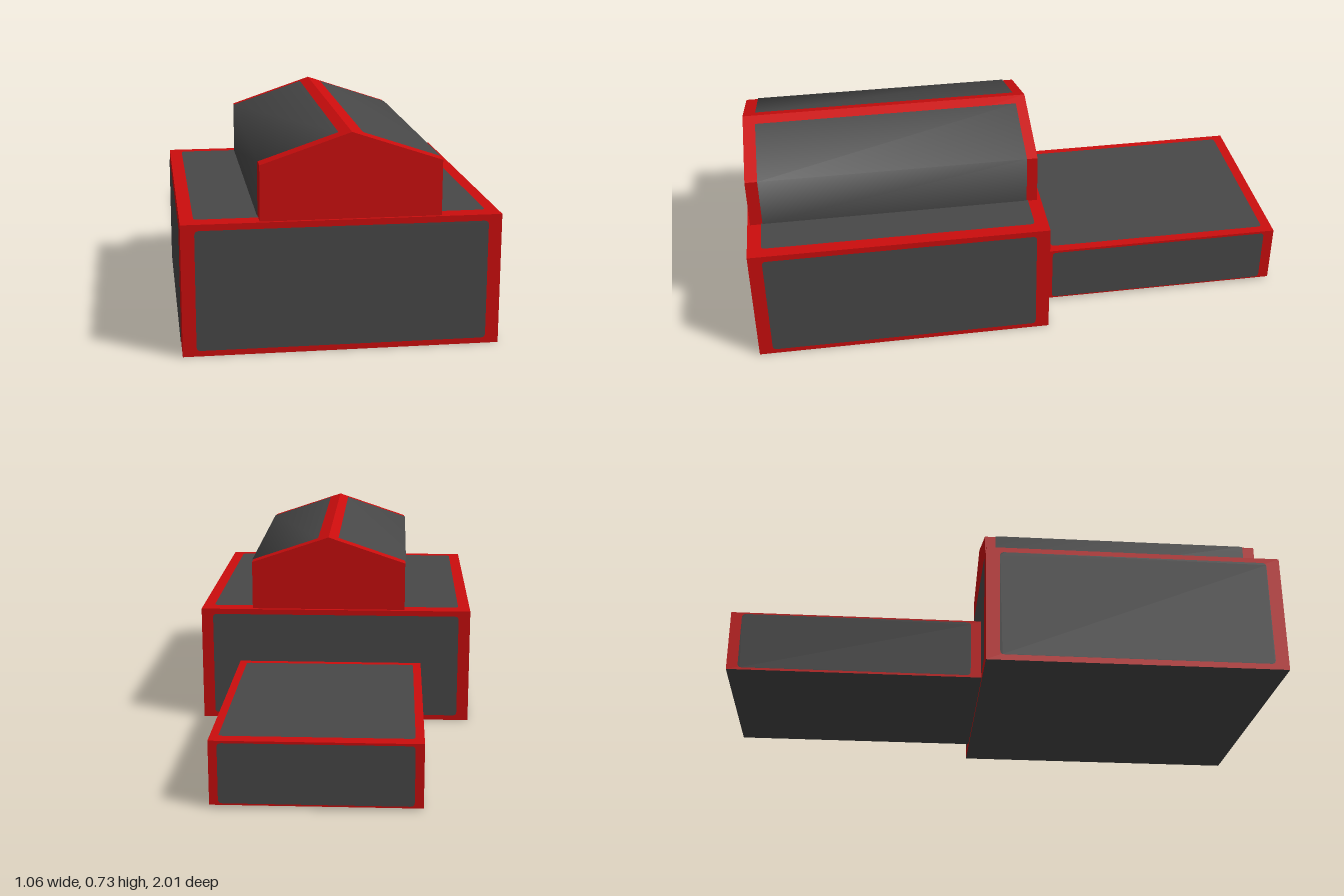
import * as THREE from 'three';

const GAP = 0.003; // how far the grey panels stand off the red body

export function createModel() {
  const red = new THREE.MeshStandardMaterial({ color: 0xcc0d0d });
  red.name = 'red trim';
  const grey = new THREE.MeshStandardMaterial({ color: 0x484848 });
  grey.name = 'dark grey panel';
  const model = new THREE.Group();
  model.name = 'building';

  const add = (parent, name, geometry, material) => {
    const mesh = new THREE.Mesh(geometry, material);
    mesh.name = name;
    parent.add(mesh);
    return mesh;
  };

  // Flat panel with rounded corners, facing +z, centred on the origin
  const panelGeometry = (w, h, r = 0.015) => {
    const x = w / 2, y = h / 2, s = new THREE.Shape();
    s.moveTo(-x + r, -y);
    s.lineTo(x - r, -y).quadraticCurveTo(x, -y, x, -y + r);
    s.lineTo(x, y - r).quadraticCurveTo(x, y, x - r, y);
    s.lineTo(-x + r, y).quadraticCurveTo(-x, y, -x, y - r);
    s.lineTo(-x, -y + r).quadraticCurveTo(-x, -y, -x + r, -y);
    return new THREE.ShapeGeometry(s, 4);
  };

  // Red box with a grey panel inset on every listed side and a fully grey underside
  const block = (name, [x0, x1], [y0, y1], [z0, z1], inset, sides) => {
    const group = new THREE.Group();
    group.name = name;
    const w = x1 - x0, h = y1 - y0, d = z1 - z0;
    group.position.set((x0 + x1) / 2, (y0 + y1) / 2, (z0 + z1) / 2);
    add(group, name + 'Body', new THREE.BoxGeometry(w, h, d), [red, red, red, grey, red, red]);
    const { x: ix, y: iy, z: iz } = inset;
    const panels = {
      front: [w - 2 * ix, h - 2 * iy, [0, 0, d / 2 + GAP], [0, 0, 0]],
      back: [w - 2 * ix, h - 2 * iy, [0, 0, -d / 2 - GAP], [0, Math.PI, 0]],
      left: [d - 2 * iz, h - 2 * iy, [w / 2 + GAP, 0, 0], [0, Math.PI / 2, 0]],
      right: [d - 2 * iz, h - 2 * iy, [-w / 2 - GAP, 0, 0], [0, -Math.PI / 2, 0]],
      top: [w - 2 * ix, d - 2 * iz, [0, h / 2 + GAP, 0], [-Math.PI / 2, 0, 0]],
    };
    for (const side of sides) {
      const [pw, ph, position, rotation] = panels[side];
      const panel = add(group, side + 'Panel', panelGeometry(pw, ph), grey);
      panel.position.set(...position);
      panel.rotation.set(...rotation);
    }
    model.add(group);
  };

  block('mainHall', [-0.525, 0.525], [0, 0.445], [-0.085, 1],
    { x: 0.045, y: 0.02, z: 0.05 }, ['front', 'back', 'left', 'right', 'top']);
  block('rearAnnex', [-0.335, 0.375], [0.01, 0.235], [-1, -0.085],
    { x: 0.03, y: 0.007, z: 0.04 }, ['back', 'left', 'right', 'top']);

  // Gabled upper storey
  const gable = new THREE.Shape([[-0.27, 0.44], [0.325, 0.44], [0.325, 0.63], [0.027, 0.73], [-0.27, 0.63]]
    .map(([x, y]) => new THREE.Vector2(x, y)));
  const upper = new THREE.ExtrudeGeometry(gable, { depth: 1.06, bevelEnabled: false });
  upper.translate(0, 0, -0.07);
  add(model, 'upperStorey', upper, red);

  // Grey covering running up the wall and over the eave, shaded smoothly across the bend
  const covering = (name, profile) => {
    const positions = [], index = [];
    profile.forEach(([x, y], i) => {
      positions.push(x, y, -0.03, x, y, 0.945);
      if (i > 0) {
        const a = 2 * (i - 1);
        index.push(a, a + 2, a + 1, a + 1, a + 2, a + 3);
      }
    });
    const geometry = new THREE.BufferGeometry();
    geometry.setAttribute('position', new THREE.Float32BufferAttribute(positions, 3));
    geometry.setIndex(index);
    geometry.computeVertexNormals();
    add(model, name, geometry, grey);
  };
  covering('leftRoofCovering',
    [[0.328, 0.448], [0.328, 0.632], [0.07, 0.719]]);
  covering('rightRoofCovering',
    [[-0.01, 0.721], [-0.273, 0.632], [-0.273, 0.448]]);

  return model;
}
